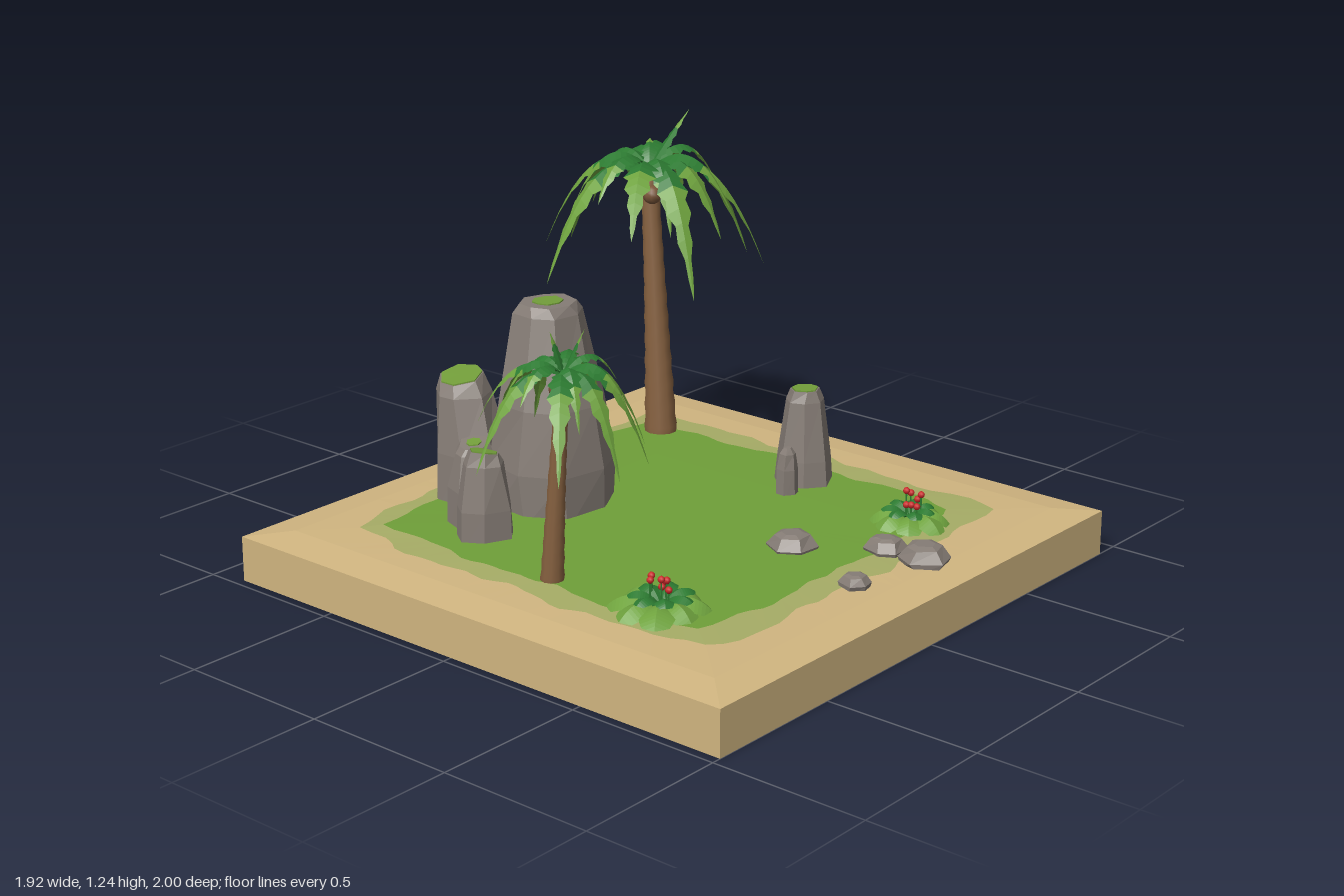
import * as THREE from 'three';

const mat = (name, color, flatShading = true, side = THREE.FrontSide) => {
  const m = new THREE.MeshStandardMaterial({ color, flatShading, side });
  m.name = name;
  return m;
};
const D = THREE.DoubleSide;
const M = {
  sand: mat('sand', 0xd0b580, true, D),
  fringe: mat('dryGrass', 0xa6ac66, true, D),
  grass: mat('grass', 0x6f9f39, true, D),
  rock: mat('stone', 0x857c75),
  moss: mat('moss', 0x729d3a),
  trunk: mat('bark', 0x85603f, false, D),
  nut: mat('coconut', 0x7a563a, false),
  leaf: mat('deepLeaf', 0x2c7a31, true, D),
  tip: mat('lightLeaf', 0x6fa33e, true, D),
  red: mat('red', 0xcc2a2a, false),
};

const V = (x, y, z) => new THREE.Vector3(x, y, z);
const random = seed => () => {
  seed = (seed * 16807) % 2147483647;
  return seed / 2147483647;
};

function mesh(name, geometry, material, parent) {
  const m = new THREE.Mesh(geometry, material);
  m.name = name;
  parent.add(m);
  return m;
}

function group(name, parent) {
  const g = new THREE.Group();
  g.name = name;
  parent.add(g);
  return g;
}

// Skin through equal-length rings, with optional end caps
function loft(rings, { closed = true, top = false, bottom = false } = {}) {
  const n = rings[0].length, pts = rings.flat(), idx = [];
  for (let i = 0; i < rings.length - 1; i++) {
    for (let j = 0; j < (closed ? n : n - 1); j++) {
      const a = i * n + j, b = i * n + (j + 1) % n;
      idx.push(a, a + n, b, b, a + n, b + n);
    }
  }
  const cap = (row, up) => {
    const c = V(0, 0, 0);
    rings[row].forEach(p => c.addScaledVector(p, 1 / n));
    const k = pts.push(c) - 1;
    for (let j = 0; j < n; j++) {
      const a = row * n + j, b = row * n + (j + 1) % n;
      idx.push(k, up ? b : a, up ? a : b);
    }
  };
  if (top) cap(rings.length - 1, true);
  if (bottom) cap(0, false);
  const g = new THREE.BufferGeometry().setFromPoints(pts);
  g.setIndex(idx);
  g.computeVertexNormals();
  return g;
}

// Squarish ground outline with an optional wavy edge
function outline(cx, cz, hx, hz, y, wave = 0, phase = 0) {
  return Array.from({ length: 120 }, (_, j) => {
    const a = j * Math.PI / 60, c = Math.cos(a), s = Math.sin(a);
    const m = Math.max(Math.abs(c), Math.abs(s)), u = c / m, v = s / m;
    const k = 1 + wave * (Math.sin(9 * a + phase) + 0.8 * Math.sin(17 * a + 2 * phase)
      + 0.6 * Math.sin(31 * a)) - (wave ? 0.05 * (u * v) ** 4 : 0);
    return V(cx + u * hx * k, y, cz + v * hz * k);
  });
}

function ground(parent) {
  const g = group('ground', parent);
  const rim = y => outline(-0.025, 0.055, 0.945, 0.945, y);
  const fringe = outline(-0.03, 0.05, 0.73, 0.735, 0.163, 0.016, 1);
  const grass = outline(-0.035, 0.035, 0.645, 0.655, 0.166, 0.013, 2.4);
  mesh('sandWalls', loft([rim(0), rim(0.145)]), M.sand, g);
  mesh('sandTop', loft([rim(0.145), outline(-0.025, 0.055, 0.83, 0.83, 0.16), fringe]), M.sand, g);
  mesh('grassFringe', loft([fringe, grass]), M.fringe, g);
  mesh('lawn', loft([grass, outline(-0.035, 0.035, 0.4, 0.4, 0.169)], { top: true }), M.grass, g);
}

// Faceted boulder; profile rows are [height, radius, xShift, zShift]
function boulder(name, parent, x, z, profile, o = {}) {
  const { sides = 7, sx = 1, sz = 1, seed = 5, tilt = 0, moss = 0, rough = 0.12 } = o;
  const r = random(seed * 7919), g = group(name, parent);
  const wob = Array.from({ length: sides }, () => 1 + (r() - 0.5) * 2 * rough);
  const rings = profile.map(([y, rad, dx = 0, dz = 0], i) => wob.map((w, j) => {
    const a = (j + 0.3 * (r() - 0.5)) / sides * Math.PI * 2 + seed;
    const lean = i === profile.length - 1 ? tilt * Math.cos(a) : 0;
    return V(x + dx + Math.cos(a) * rad * w * sx, y + lean, z + dz + Math.sin(a) * rad * w * sz);
  }));
  mesh('stone', loft(rings, { top: true, bottom: true }), M.rock, g);
  if (moss) {
    // moss patch lying on the crown
    const last = rings.at(-1), c = V(0, 0, 0);
    last.forEach(p => c.addScaledVector(p, 1 / sides));
    const patch = last.map(p => p.clone().lerp(c, 1 - moss).add(V(0, 0.004, 0)));
    mesh('mossPatch', loft([last.map(p => p.clone().lerp(c, 1 - moss)), patch], { top: true }), M.moss, g);
  }
}

// Arched, ridged leaf; its outer part takes the second material
function leaf(name, parent, root, tip, lift, width, o = {}) {
  const { teeth = true, split = 7, inner = M.leaf, outer = M.tip, reach = 0.55 } = o;
  const n = 14, dir = V(tip.x - root.x, 0, tip.z - root.z).normalize();
  const side = V(dir.z, 0, -dir.x);
  const mid = root.clone().lerp(tip, reach).setY(root.y + lift);
  const path = new THREE.QuadraticBezierCurve3(root, mid, tip);
  const rows = Array.from({ length: n + 1 }, (_, i) => {
    const t = i / n, p = path.getPoint(t);
    const shape = teeth ? Math.min(1, 0.25 + 2.4 * t) * Math.min(1, (1 - t) * 2.2)
      : Math.sqrt(Math.max(0, 1 - (1.7 * t - 0.8) ** 2)) * (t < 1 ? 1 : 0.2);
    const w = width * shape * (teeth ? (i % 2 ? 1.1 : 0.72) : 1);
    const edge = s => p.clone().addScaledVector(side, s * w).add(V(0, -0.45 * w, 0));
    return [edge(-1), p, edge(1)];
  });
  if (split > 0) mesh(name, loft(rows.slice(0, split + 1), { closed: false }), inner, parent);
  if (split < n) mesh(name + 'Tip', loft(rows.slice(split), { closed: false }), outer, parent);
}

// Palm: tips are [x, y, z], upper fronds are short and spread evenly
function palm(name, parent, base, crown, r0, r1, tips, upright, size) {
  const g = group(name, parent);
  const bend = V(base.x * 0.6 + crown.x * 0.4, (base.y + crown.y) / 2, base.z * 0.6 + crown.z * 0.4);
  const path = new THREE.QuadraticBezierCurve3(base, bend, crown);
  const rings = Array.from({ length: 25 }, (_, i) => {
    const t = i / 24, p = path.getPoint(t);
    const rad = (r1 + (r0 - r1) * (1 - t) ** 1.5) * (i % 2 ? 1.05 : 0.97);
    return Array.from({ length: 10 }, (_, j) => {
      const a = j * Math.PI / 5;
      return V(p.x + rad * Math.cos(a), p.y, p.z + rad * Math.sin(a));
    });
  });
  mesh('trunk', loft(rings, { top: true }), M.trunk, g);
  const top = crown.clone().add(V(0, 0.01, 0));
  tips.forEach(t => leaf('frond', g, top, V(...t), 0.4 * size, 0.125 * size));
  for (let i = 0; i < 7; i++) {
    const a = i * Math.PI * 2 / 7 + 0.35, r = size * (0.62 + 0.1 * (i % 2));
    leaf('upperFrond', g, top, V(crown.x + r * Math.cos(a), crown.y - size * (0.12 + 0.14 * (i % 3)),
      crown.z + r * Math.sin(a)), 0.42 * size, 0.1 * size, { split: 9 });
  }
  upright.forEach(t => leaf('youngFrond', g, top, V(...t), 0.22 * size, 0.06 * size, { split: 10, reach: 0.4 }));
  // Coconuts under the crown
  for (let i = 0; i < 5; i++) {
    const a = i * Math.PI * 0.4 + 0.9, r = r1 * 1.15;
    mesh('coconut', new THREE.SphereGeometry(r1 * 1.05, 10, 8), M.nut, g)
      .position.set(crown.x + r * Math.cos(a), crown.y - size * (0.1 + 0.07 * (i % 2)), crown.z + r * Math.sin(a));
  }
}

function bush(name, parent, x, z, r, seed) {
  const g = group(name, parent), rnd = random(seed * 997), c = V(x, 0.175, z);
  const ring = (label, count, rad, y, lift, w, o, turn) => {
    for (let i = 0; i < count; i++) {
      const a = i * Math.PI * 2 / count + turn, k = rad * (0.92 + 0.16 * rnd());
      leaf(label, g, c, V(x + k * Math.cos(a), y, z + k * Math.sin(a)), lift, w, { teeth: false, ...o });
    }
  };
  ring('outerLeaf', 8, r, 0.165, 0.065, r * 0.36, { split: 4 }, 0.2);
  ring('innerLeaf', 7, r * 0.66, 0.205, 0.07, r * 0.2, { split: 14 }, 0.5);
  // Red blossoms on thin stems
  for (let i = 0; i < 7; i++) {
    const a = i * 2.4, k = 0.012 + 0.03 * rnd(), h = 0.225 + 0.045 * rnd();
    const px = x + k * Math.cos(a), pz = z + k * Math.sin(a);
    mesh('stem', new THREE.CylinderGeometry(0.003, 0.003, h - 0.17, 5), M.leaf, g)
      .position.set(px, (h + 0.17) / 2, pz);
    mesh('blossom', new THREE.SphereGeometry(0.011, 8, 6), M.red, g).position.set(px, h, pz);
  }
}

export function createModel() {
  const model = new THREE.Group();
  model.name = 'tropicalIsland';
  ground(model);

  // Standing rocks
  boulder('tallRock', model, -0.155, -0.345,
    [[0.13, 0.185], [0.3, 0.19], [0.5, 0.16], [0.78, 0.105, 0.01, -0.02], [0.81, 0.085, 0.01, -0.02]],
    { sides: 8, sx: 1.04, sz: 0.95, seed: 3, moss: 0.55, rough: 0.08 });
  boulder('backRock', model, -0.285, -0.575,
    [[0.13, 0.13], [0.32, 0.125], [0.5, 0.095, 0, -0.03], [0.55, 0.075, 0, -0.04]],
    { seed: 8, tilt: 0.015, moss: 0.95 });
  boulder('sideRock', model, -0.445, -0.405, [[0.13, 0.1], [0.28, 0.095], [0.39, 0.065], [0.42, 0.05]],
    { seed: 11, tilt: 0.01, moss: 0.5 });
  boulder('lowRock', model, -0.515, -0.295, [[0.13, 0.085], [0.26, 0.082], [0.4, 0.06], [0.435, 0.045]],
    { seed: 14, tilt: -0.01, moss: 0.9 });
  boulder('lawnRock', model, 0.49, 0.15, [[0.13, 0.095], [0.25, 0.085], [0.44, 0.058], [0.475, 0.045]],
    { seed: 6, moss: 0.9 });
  boulder('lawnRockSmall', model, 0.36, 0.185, [[0.13, 0.035], [0.25, 0.032], [0.3, 0.024], [0.32, 0.012]],
    { sides: 6, seed: 9 });

  // Low stones
  [[0.01, 0.475, 0.08], [0.175, 0.705, 0.066], [0.19, 0.835, 0.083], [-0.1, 0.795, 0.05]].forEach(([x, z, r], i) =>
    boulder('steppingStone', model, x, z,
      [[0.145, r * 0.85], [0.175, r], [0.175 + r * 0.4, r * 0.68], [0.175 + r * 0.5, r * 0.4]],
      { sides: 6, seed: i + 2, rough: 0.06 }));

  palm('largePalm', model, V(0.56, 0.15, -0.51), V(0.595, 1.04, -0.59), 0.055, 0.03,
    [[0.65, 0.73, -0.995], [0.86, 0.84, -0.9], [0.955, 0.71, -0.46], [0.82, 0.73, -0.28], [0.42, 0.7, -0.25],
      [0.285, 0.9, -0.4], [0.23, 0.71, -0.72], [0.41, 0.78, -0.89], [0.9, 0.9, -0.7], [0.63, 0.85, -0.31]],
    [[0.74, 1.235, -0.54], [0.68, 1.13, -0.66]], 0.4);
  palm('smallPalm', model, V(-0.64, 0.15, 0.095), V(-0.625, 0.79, 0.135), 0.036, 0.021,
    [[-0.9, 0.55, 0.05], [-0.76, 0.64, -0.08], [-0.64, 0.6, -0.12], [-0.485, 0.58, -0.11], [-0.41, 0.62, 0.08],
      [-0.4, 0.55, 0.25], [-0.5, 0.54, 0.35], [-0.66, 0.54, 0.38], [-0.85, 0.56, 0.32]],
    [[-0.57, 0.93, 0.17], [-0.63, 0.92, 0.09]], 0.28);

  bush('leftBush', model, -0.6, 0.48, 0.15, 3);
  bush('rightBush', model, 0.41, 0.625, 0.13, 8);
  return model;
}
